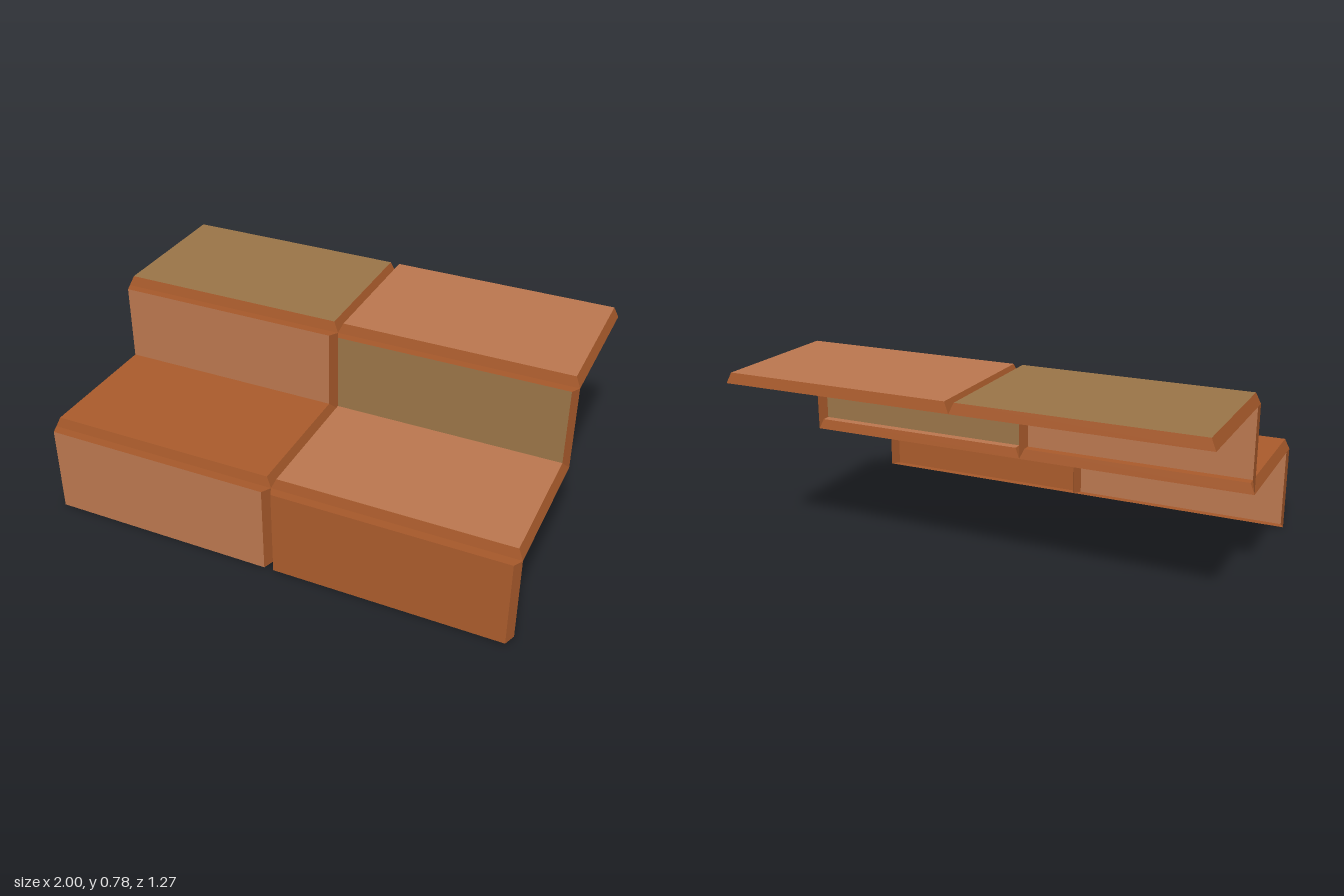
import * as THREE from 'three';

const DEPTH = 0.044;   // thickness of each tile
const RUN = 0.611;     // depth of a step
const RISE = 0.367;    // height of a step

const material = (name, color) => {
  const m = new THREE.MeshStandardMaterial({ color, side: THREE.DoubleSide });
  m.name = name;
  return m;
};

// flat quads from lists of four corners, counter-clockwise from outside
function quads(list) {
  const pos = list.flatMap(([a, b, c, d]) => [a, b, c, a, c, d].flat());
  const g = new THREE.BufferGeometry();
  g.setAttribute('position', new THREE.Float32BufferAttribute(pos, 3));
  g.computeVertexNormals();
  return g;
}

// open-backed tile: a face at z = DEPTH and four slanted walls down to z = 0
function makeTile(name, backH, faceH, faceMat, wallMat) {
  const rect = (w, h, z) => [[-w, -h, z], [w, -h, z], [w, h, z], [-w, h, z]];
  const face = rect(0.48, faceH / 2, DEPTH);
  const back = rect(0.5, backH / 2, 0);
  const walls = face.map((f, i) => {
    const j = (i + 1) % 4;
    return [f, back[i], back[j], face[j]];
  });
  const tile = new THREE.Group();
  tile.name = name;
  const faceMesh = new THREE.Mesh(quads([face]), faceMat);
  faceMesh.name = name + 'Face';
  const wallMesh = new THREE.Mesh(quads(walls), wallMat);
  wallMesh.name = name + 'Walls';
  tile.add(faceMesh, wallMesh);
  return tile;
}

export function createModel() {
  const terracotta = material('terracotta', 0xa85a2b);
  const clay = material('paleClay', 0xb9764e);
  const olive = material('oliveBrown', 0x997347);

  const group = new THREE.Group();
  group.name = 'tiledSteps';

  // face colours per step, ordered -x then +x
  const steps = [
    { riser: [clay, terracotta], tread: [terracotta, clay] },
    { riser: [clay, olive], tread: [olive, clay] },
  ];

  steps.forEach((step, s) => {
    const z = 0.589 - s * RUN;
    [-0.5, 0.5].forEach((x, k) => {
      // upright tile, slightly taller at its face
      const riser = makeTile('riser', RISE, RISE + 0.01, step.riser[k], terracotta);
      riser.position.set(x, 0.005 + RISE * (s + 0.5), z);
      group.add(riser);

      // flat tile, slightly shorter at its face
      const tread = makeTile('tread', RUN, RUN - 0.016, step.tread[k], terracotta);
      tread.rotation.x = -Math.PI / 2;
      tread.position.set(x, 0.005 + RISE * (s + 1), z - RUN / 2);
      group.add(tread);
    });
  });
  return group;
}
